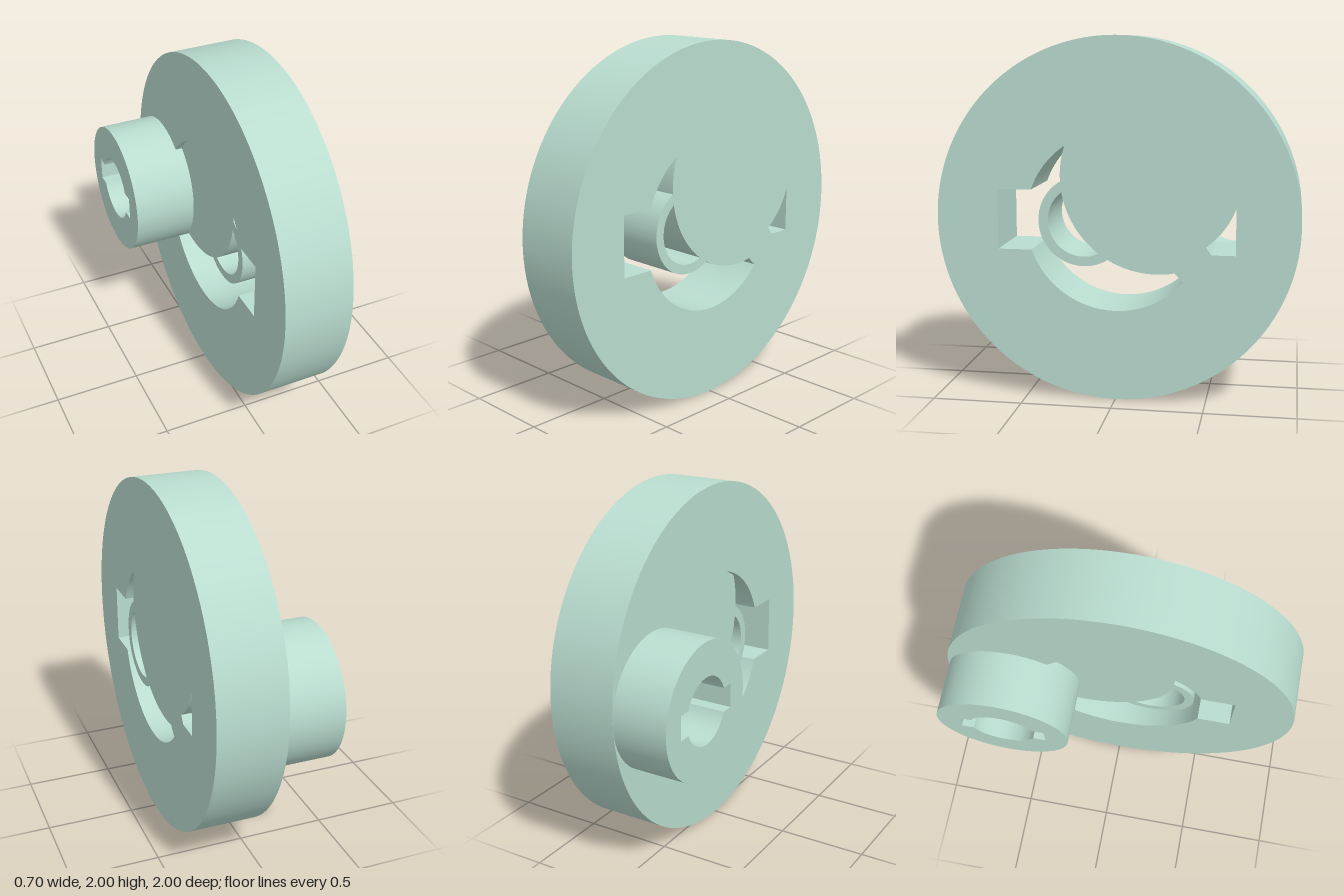
import * as THREE from 'three';
import { toCreasedNormals } from 'three/addons/utils/BufferGeometryUtils.js';

const RAD = Math.PI / 180;

// Profiles are drawn with u = -z and v = y, then extruded along x.
function circle(Type, u, v, r) {
  return new Type().absarc(u, v, r, 0, Math.PI * 2, false);
}

// Round bore with a rectangular keyway across it
function keyedBore(u, v, r, halfLength, halfHeight) {
  const a = Math.asin(halfHeight / r);
  const p = new THREE.Path();
  p.moveTo(u + halfLength, v - halfHeight);
  p.lineTo(u + halfLength, v + halfHeight);
  p.absarc(u, v, r, a, Math.PI - a, false);
  p.lineTo(u - halfLength, v + halfHeight);
  p.lineTo(u - halfLength, v - halfHeight);
  p.absarc(u, v, r, Math.PI + a, Math.PI * 2 - a, false);
  p.closePath();
  return p;
}

export function createModel() {
  const group = new THREE.Group();
  const material = new THREE.MeshStandardMaterial({ color: 0xb9dccf });

  function addPart(name, shape, x0, x1) {
    let geo = new THREE.ExtrudeGeometry(shape, {
      depth: x1 - x0, bevelEnabled: false, curveSegments: 96,
    });
    geo.rotateY(Math.PI / 2);
    geo.translate(x0, 0, 0);
    geo = toCreasedNormals(geo, 0.5);
    const mesh = new THREE.Mesh(geo, material);
    mesh.name = name;
    group.add(mesh);
  }

  // Large wheel with a keyed central bore
  const wheel = circle(THREE.Shape, 0, 1, 1);
  wheel.holes.push(keyedBore(0, 1, 0.495, 0.655, 0.167));
  addPart('wheel', wheel, -0.04, 0.35);

  // Offset hub, running through the wheel and out of the back
  const hub = circle(THREE.Shape, 0.619, 0.97, 0.38);
  hub.holes.push(keyedBore(0.619, 0.97, 0.187, 0.245, 0.068));
  addPart('hub', hub, -0.355, 0.35);

  // Stepped cam filling the upper part of the bore
  const cam = new THREE.Shape();
  cam.absarc(0.225, 1.245, 0.457, -54 * RAD, 40 * RAD, false);
  cam.absarc(0.225, 1.245, 0.528, 40 * RAD, 306 * RAD, false);
  cam.closePath();
  addPart('cam', cam, 0, 0.35);

  // Thin sleeve beside the cam
  const sleeve = circle(THREE.Shape, -0.175, 1, 0.25);
  sleeve.holes.push(circle(THREE.Path, -0.175, 1, 0.197));
  addPart('sleeve', sleeve, 0, 0.35);

  return group;
}
